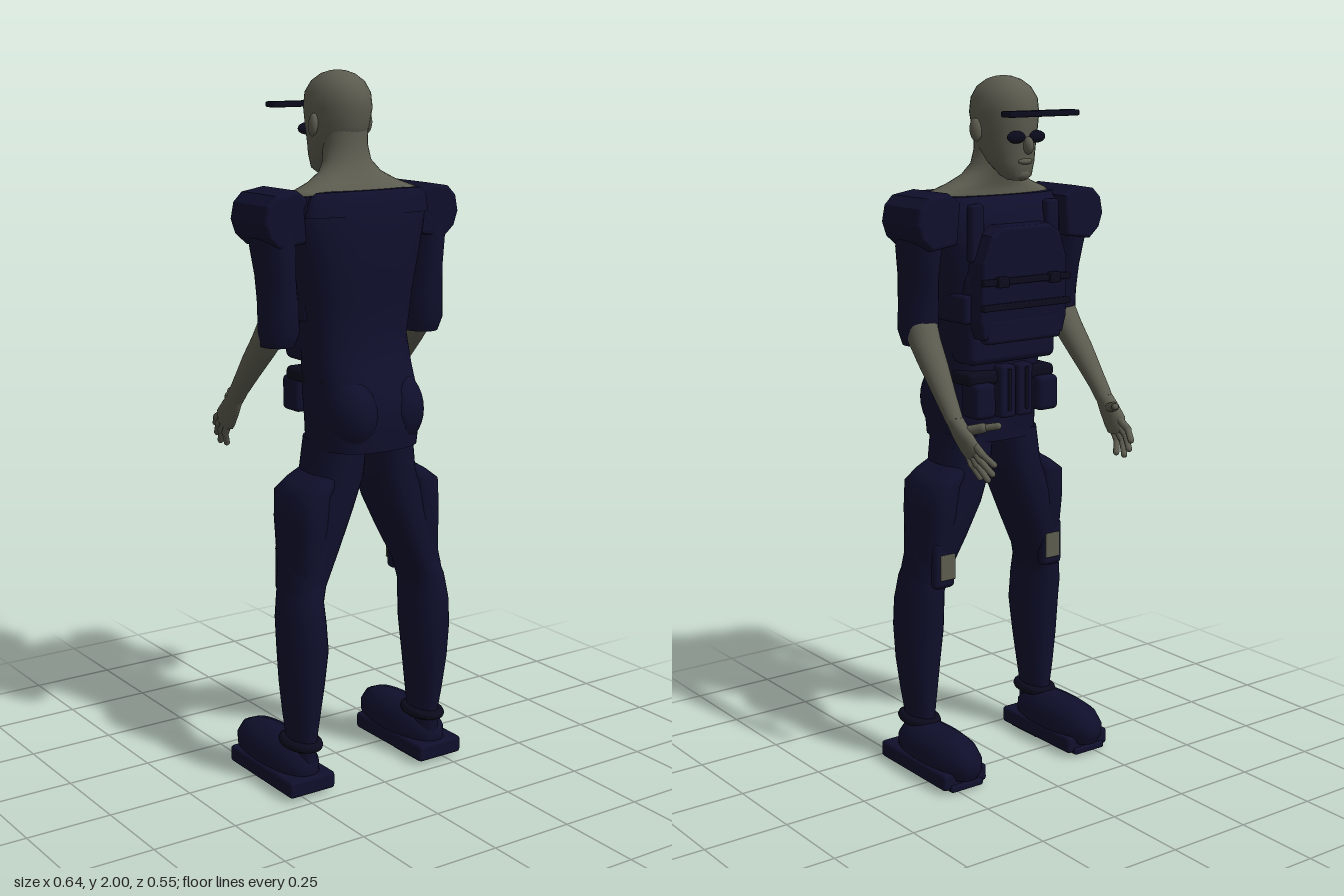
import * as THREE from 'three';
import { RoundedBoxGeometry } from 'three/addons/geometries/RoundedBoxGeometry.js';

const mat = (name, color) => Object.assign(new THREE.MeshStandardMaterial({ color }), { name });

// Skin through horizontal oval rings [y, cx, cz, rx, rz], listed bottom to top, with closed ends
function loft(rings, power = 2, n = 32) {
  const first = rings[0], last = rings[rings.length - 1];
  const tip = (r) => [r[0], r[1], r[2], 0.0005, 0.0005];
  const all = [tip(first), first, ...rings, last, tip(last)];
  const pos = [], idx = [];
  const bend = (v) => Math.sign(v) * Math.abs(v) ** (2 / power);
  all.forEach(([y, cx, cz, rx, rz], i) => {
    for (let j = 0; j < n; j++) {
      const a = (j / n) * Math.PI * 2, k = (j + 1) % n;
      pos.push(cx + rx * bend(Math.cos(a)), y, cz + rz * bend(Math.sin(a)));
      if (i < all.length - 1) {
        const p = i * n + j, q = i * n + k;
        idx.push(p, p + n, q, p + n, q + n, q);
      }
    }
  });
  const g = new THREE.BufferGeometry();
  g.setAttribute('position', new THREE.Float32BufferAttribute(pos, 3));
  g.setIndex(idx);
  g.computeVertexNormals();
  return g;
}

// Panel outline extruded along z with a small bevel
function slab(points, depth, bevel = 0.01) {
  const shape = new THREE.Shape(points.map(([x, y]) => new THREE.Vector2(x, y)));
  return new THREE.ExtrudeGeometry(shape, { depth, bevelSize: bevel, bevelThickness: bevel, bevelSegments: 3 });
}

export function createModel() {
  const model = new THREE.Group();
  const skin = mat('skin', 0x5b5b4f);
  const navy = mat('navy cloth', 0x0f0f2c);
  const dark = mat('dark gear', 0x0a0a1c);

  const add = (name, geo, material, x = 0, y = 0, z = 0) => {
    const m = new THREE.Mesh(geo, material);
    m.name = name;
    m.position.set(x, y, z);
    model.add(m);
    return m;
  };
  const box = (name, w, h, d, x, y, z, material = navy, r = 0.008) =>
    add(name, new RoundedBoxGeometry(w, h, d, 2, r), material, x, y, z);
  const ball = (name, rx, ry, rz, x, y, z, material = skin) => {
    const m = add(name, new THREE.SphereGeometry(1, 24, 16), material, x, y, z);
    m.scale.set(rx, ry, rz);
    return m;
  };
  // Capsule between two points
  const finger = (name, a, b, r) => {
    const p = new THREE.Vector3(...a), d = new THREE.Vector3(...b).sub(p);
    const m = add(name, new THREE.CapsuleGeometry(r, d.length(), 4, 10), skin);
    m.position.copy(p).addScaledVector(d, 0.5);
    m.quaternion.setFromUnitVectors(new THREE.Vector3(0, 1, 0), d.normalize());
  };

  // Head, facing -z
  add('head', loft([
    [1.72, 0, -0.05, 0.026, 0.026], [1.732, 0, -0.045, 0.043, 0.045], [1.77, 0, -0.02, 0.062, 0.073],
    [1.81, 0, 0, 0.073, 0.095], [1.85, 0, 0.006, 0.081, 0.104], [1.9, 0, 0.009, 0.086, 0.113],
    [1.94, 0, 0.009, 0.082, 0.108], [1.97, 0, 0.01, 0.066, 0.088], [1.99, 0, 0.01, 0.042, 0.056],
    [1.998, 0, 0.01, 0.02, 0.027], [2, 0, 0.01, 0.006, 0.008]]), skin);
  ball('nose', 0.013, 0.024, 0.018, 0, 1.815, -0.102);
  ball('lips', 0.024, 0.01, 0.012, 0, 1.772, -0.086);
  ball('chin', 0.026, 0.02, 0.022, 0, 1.738, -0.07);

  // Neck and bare shoulders
  add('neck', loft([
    [1.6, 0, 0.09, 0.2, 0.07], [1.665, 0, 0.09, 0.222, 0.076], [1.685, 0, 0.088, 0.195, 0.07],
    [1.705, 0, 0.08, 0.14, 0.066], [1.73, 0, 0.068, 0.094, 0.062], [1.76, 0, 0.054, 0.07, 0.06],
    [1.8, 0, 0.045, 0.064, 0.06], [1.84, 0, 0.045, 0.064, 0.06]]), skin);

  // Raised visor and glasses
  box('visor', 0.236, 0.016, 0.046, 0, 1.903, -0.155, dark, 0.005);

  // Shirt with wide neckline
  add('torso', loft([
    [0.98, 0, 0.125, 0.15, 0.135], [1.05, 0, 0.128, 0.155, 0.138], [1.12, 0, 0.12, 0.155, 0.14],
    [1.2, 0, 0.102, 0.152, 0.125], [1.28, 0, 0.085, 0.155, 0.108], [1.4, 0, 0.08, 0.172, 0.122],
    [1.5, 0, 0.075, 0.195, 0.13], [1.58, 0, 0.075, 0.215, 0.125], [1.64, 0, 0.08, 0.225, 0.112],
    [1.675, 0, 0.088, 0.215, 0.09]], 2.6, 40), navy);
  add('collarBack', loft([[1.62, 0, 0.15, 0.2, 0.045], [1.67, 0, 0.158, 0.19, 0.028],
    [1.685, 0, 0.158, 0.17, 0.015]], 2.6), navy);

  // Chest plate with sloping top corners
  const plate = add('chestPlate', slab([[-0.13, 1.3], [0.13, 1.3], [0.14, 1.34], [0.135, 1.5], [0.11, 1.57],
    [0.08, 1.59], [-0.08, 1.59], [-0.11, 1.57], [-0.135, 1.5], [-0.14, 1.34]], 0.07), navy, 0, 0, -0.08);
  plate.rotation.x = -0.04;
  plate.position.set(0, 0.0, -0.025);
  box('vestBody', 0.3, 0.26, 0.1, 0, 1.34, 0.01, navy, 0.02);
  for (const y of [1.45, 1.38]) box('chestStrap', 0.3, 0.018, 0.02, 0, y, -0.095, dark, 0.004);
  box('lowerPouch', 0.26, 0.07, 0.04, 0, 1.31, -0.07, navy, 0.012);
  box('belt', 0.3, 0.04, 0.2, 0, 1.17, 0.065, dark, 0.015);
  for (const x of [-0.03, 0.03]) {
    box('magazinePouch', 0.052, 0.15, 0.05, x, 1.13, -0.03);
    box('pouchStrap', 0.01, 0.12, 0.008, x, 1.135, -0.058, dark, 0.003);
  }

  for (const s of [1, -1]) {
    // Mirrors ring centres across the body
    const side = (name, rings, material, power) =>
      add(name, loft(rings.map(([y, x, ...r]) => [y, s * x, ...r]), power), material);

    const ear = ball('ear', 0.013, 0.032, 0.019, s * 0.088, 1.855, 0.02);
    ear.rotation.set(0.15, s * 0.3, 0);
    ball('lens', 0.03, 0.017, 0.012, s * 0.034, 1.838, -0.092, dark);

    // Shoulder pad
    const pad = [[0.2, 1.56], [0.27, 1.55], [0.298, 1.575], [0.31, 1.61], [0.302, 1.65], [0.28, 1.672],
      [0.22, 1.682], [0.19, 1.66]].map(([x, y]) => [s * x, y]);
    add('shoulderPad', slab(pad, 0.165), navy, 0, 0, -0.03);

    // Sleeve, forearm and hand
    side('sleeve', [
      [1.27, 0.243, 0.075, 0.046, 0.052], [1.31, 0.243, 0.082, 0.055, 0.062], [1.38, 0.243, 0.08, 0.052, 0.066],
      [1.46, 0.247, 0.073, 0.047, 0.074], [1.54, 0.25, 0.065, 0.052, 0.085], [1.64, 0.245, 0.06, 0.055, 0.08]], navy);
    side('forearm', [
      [1.08, 0.263, -0.125, 0.022, 0.032], [1.11, 0.263, -0.103, 0.025, 0.034], [1.16, 0.26, -0.062, 0.03, 0.04],
      [1.23, 0.255, -0.005, 0.038, 0.05], [1.29, 0.25, 0.045, 0.043, 0.055], [1.34, 0.245, 0.07, 0.044, 0.05]], skin);
    side('palm', [
      [0.995, 0.252, -0.178, 0.011, 0.022], [1.01, 0.255, -0.18, 0.016, 0.04], [1.045, 0.26, -0.163, 0.02, 0.05],
      [1.08, 0.263, -0.132, 0.022, 0.038], [1.1, 0.263, -0.115, 0.022, 0.03]], skin);
    const tips = [[0.992, -0.268], [0.965, -0.26], [0.945, -0.24], [0.945, -0.205]];
    tips.forEach(([y, z], i) => {
      const knuckle = [s * 0.255, 1.035 - i * 0.01, -0.205 + i * 0.011];
      const mid = [s * 0.255, (y + knuckle[1]) / 2 + 0.003, (z + knuckle[2]) / 2];
      finger('fingerBase', knuckle, mid, 0.0105);
      finger('fingerTip', mid, [s * 0.24, y, z], 0.009);
    });
    finger('thumbBase', [s * 0.255, 1.065, -0.155], [s * 0.23, 1.08, -0.205], 0.014);
    finger('thumbTip', [s * 0.23, 1.08, -0.205], [s * 0.205, 1.088, -0.238], 0.01);

    // Vest buckles, side straps and hip pouches
    box('buckle', 0.036, 0.03, 0.022, s * 0.09, 1.45, -0.105, dark, 0.005);
    box('sideStrap', 0.03, 0.08, 0.14, s * 0.155, 1.37, 0.03, navy, 0.01);
    box('vestStrap', 0.045, 0.16, 0.03, s * 0.13, 1.58, -0.035, navy, 0.01);
    box('hipPouch', 0.07, 0.1, 0.08, s * 0.11, 1.11, -0.02, navy, 0.014);

    // Seat and legs
    ball('seat', 0.078, 0.11, 0.1, s * 0.075, 1.08, 0.173, navy);
    side('thigh', [
      [0.52, 0.212, 0.13, 0.05, 0.08], [0.6, 0.2, 0.122, 0.057, 0.085], [0.7, 0.165, 0.112, 0.072, 0.095],
      [0.8, 0.127, 0.105, 0.08, 0.102], [0.9, 0.09, 0.107, 0.074, 0.108], [1.0, 0.078, 0.11, 0.073, 0.108]], navy, 2.3);
    side('thighPad', [
      [0.58, 0.205, 0.12, 0.045, 0.075], [0.66, 0.193, 0.115, 0.052, 0.088], [0.78, 0.19, 0.108, 0.054, 0.1],
      [0.855, 0.185, 0.106, 0.057, 0.1], [0.885, 0.155, 0.106, 0.047, 0.095], [0.91, 0.12, 0.106, 0.04, 0.085]], navy, 2.6);
    side('shin', [
      [0.08, 0.215, 0.14, 0.034, 0.062], [0.15, 0.214, 0.14, 0.034, 0.062], [0.22, 0.215, 0.142, 0.045, 0.07],
      [0.32, 0.215, 0.145, 0.058, 0.08], [0.42, 0.212, 0.145, 0.066, 0.089], [0.5, 0.213, 0.138, 0.06, 0.096],
      [0.57, 0.21, 0.13, 0.053, 0.09], [0.64, 0.19, 0.12, 0.05, 0.08]], navy);
    box('kneePad', 0.07, 0.14, 0.04, s * 0.195, 0.63, 0.045, navy, 0.015);
    box('kneePatch', 0.05, 0.075, 0.008, s * 0.19, 0.625, 0.022, skin, 0.003);

    // Shoe on a flat sole
    box('sole', 0.15, 0.05, 0.33, s * 0.225, 0.035, 0.055, navy, 0.01);
    box('heel', 0.11, 0.025, 0.13, s * 0.22, 0.0125, 0.13, navy, 0.006);
    box('toeTread', 0.11, 0.02, 0.14, s * 0.225, 0.015, -0.05, navy, 0.006);
    side('shoe', [
      [0.035, 0.222, 0.03, 0.06, 0.165], [0.06, 0.222, 0.028, 0.072, 0.178], [0.09, 0.222, 0.026, 0.073, 0.176],
      [0.12, 0.222, 0.025, 0.06, 0.155], [0.138, 0.22, 0.03, 0.04, 0.12], [0.145, 0.218, 0.04, 0.02, 0.08]], navy, 2.3);
    add('ankleCuff', new THREE.TorusGeometry(0.04, 0.014, 10, 28).rotateX(Math.PI / 2).scale(1, 1, 1.5), dark, s * 0.215, 0.14, 0.14);
  }
  return model;
}
